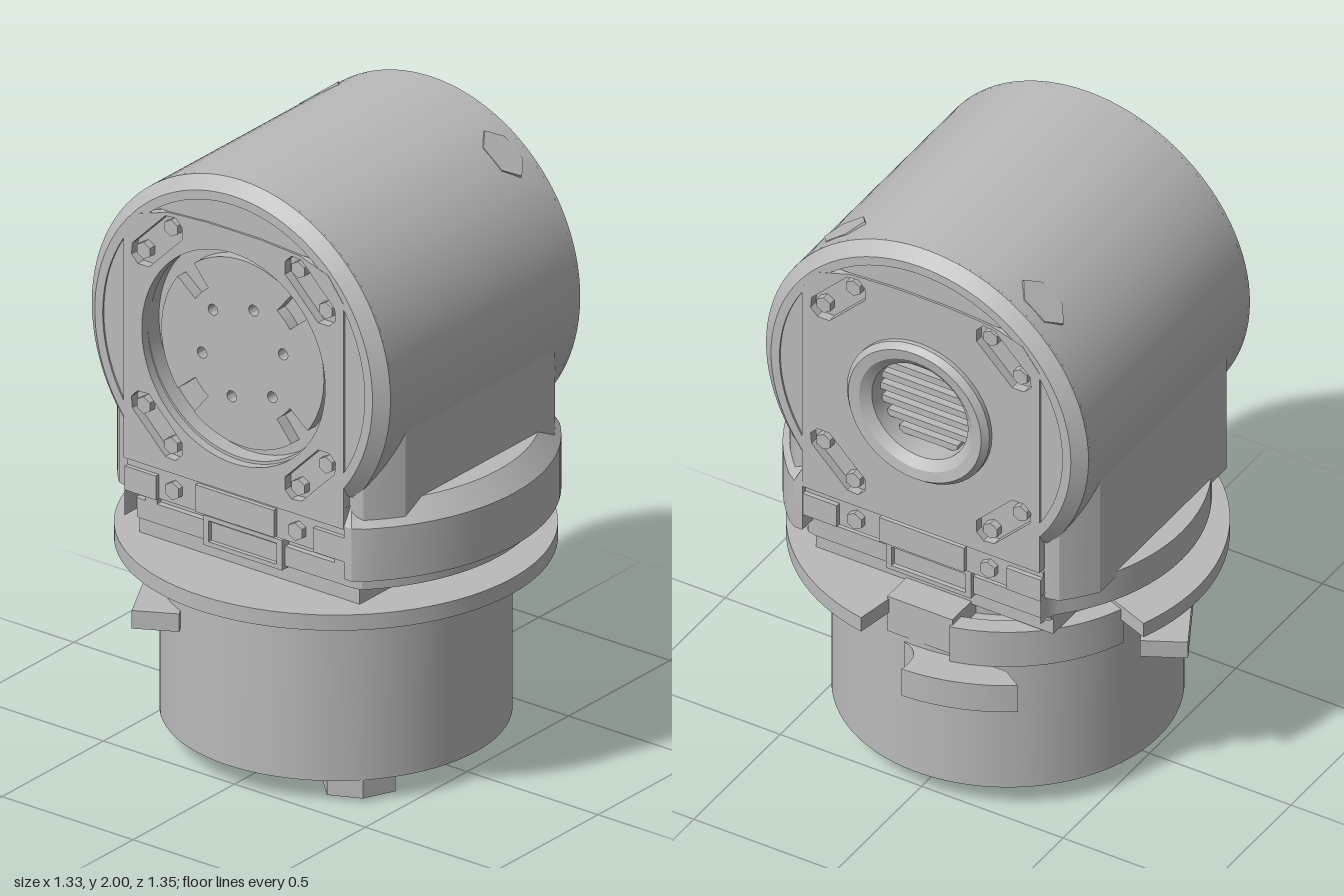
import * as THREE from 'three';
import { toCreasedNormals } from 'three/addons/utils/BufferGeometryUtils.js';

const grey = new THREE.MeshStandardMaterial({ color: 0xbababa, side: THREE.DoubleSide });
grey.name = 'metal grey';
const AXIS = 1.42; // height of the head's horizontal axis
const DEG = Math.PI / 180;
const V = (x, y) => new THREE.Vector2(x, y);

function add(parent, name, geometry) {
  const mesh = new THREE.Mesh(toCreasedNormals(geometry, 0.5), grey);
  mesh.name = name;
  parent.add(mesh);
  return mesh;
}

function box(parent, name, x0, x1, y0, y1, z0, z1) {
  const g = new THREE.BoxGeometry(x1 - x0, y1 - y0, z1 - z0);
  g.translate((x0 + x1) / 2, (y0 + y1) / 2, (z0 + z1) / 2);
  return add(parent, name, g);
}

const extrude = (shape, depth) =>
  new THREE.ExtrudeGeometry(shape, { depth, bevelEnabled: false, curveSegments: 40 });

// Horizontal slab from a shape drawn in x and z
const slab = (shape, y0, y1) => extrude(shape, y1 - y0).rotateX(Math.PI / 2).translate(0, y1, 0);

function circle(r, x = 0, y = 0, Type = THREE.Path) {
  const p = new Type();
  p.absarc(x, y, r, 0, Math.PI * 2);
  return p;
}

function sector(r0, r1, a0, a1) {
  const s = new THREE.Shape();
  s.absarc(0, 0, r1, a0 * DEG, a1 * DEG, false);
  s.absarc(0, 0, r0, a1 * DEG, a0 * DEG, true);
  s.closePath();
  return s;
}

// Vertical cylinder clipped to a box; tiers are [height, radius]
function clippedDrum(tiers, xMax, zMin, zMax) {
  const n = 96, pos = [], index = [];
  const clamp = THREE.MathUtils.clamp;
  for (const [y, r] of tiers) {
    for (let i = 0; i < n; i++) {
      const a = (i / n) * Math.PI * 2;
      pos.push(clamp(r * Math.cos(a), -xMax, xMax), y, clamp(r * Math.sin(a), zMin, zMax));
    }
  }
  const last = tiers.length - 1, zc = (zMin + zMax) / 2, c = pos.length / 3;
  pos.push(0, tiers[0][0], zc, 0, tiers[last][0], zc);
  for (let i = 0; i < n; i++) {
    const j = (i + 1) % n;
    for (let t = 0; t < last; t++) {
      const a = t * n + i, b = t * n + j;
      index.push(a, a + n, b, b, a + n, b + n);
    }
    index.push(c, i, j, c + 1, last * n + j, last * n + i);
  }
  const g = new THREE.BufferGeometry();
  g.setAttribute('position', new THREE.Float32BufferAttribute(pos, 3));
  g.setIndex(index);
  return g;
}

// Drive disc with edge notches and a ring of holes, extruded along z
function driveDisc(r, depth) {
  const s = new THREE.Shape();
  for (let k = 0; k < 4; k++) {
    const a = k * 90 + 45;
    s.absarc(0, 0, r, (a + 8) * DEG, (a + 82) * DEG, false);
    s.absarc(0, 0, r * 0.72, (a + 81) * DEG, (a + 99) * DEG, false);
  }
  s.closePath();
  for (let k = 0; k < 6; k++) {
    const a = (k * 60 + 15) * DEG;
    s.holes.push(circle(0.018, 0.16 * Math.cos(a), 0.16 * Math.sin(a)));
  }
  return extrude(s, depth);
}

// End cover, built facing +z and then turned to either side
function endCover(sign, boreRadius) {
  const g = new THREE.Group();
  g.name = sign > 0 ? 'leftCover' : 'rightCover';
  const half = [[0.42, 0.97], [0.42, 1.72], [0.36, 1.8], [0.25, 1.835], [0.1, 1.845]];
  const plate = new THREE.Shape([
    ...half.map(([x, y]) => V(x, y)), ...half.slice().reverse().map(([x, y]) => V(-x, y))]);
  plate.holes.push(circle(boreRadius, 0, AXIS));
  for (const sx of [-1, 1]) for (const sy of [-1, 1]) {
    // Diagonal screw pockets with two bolts each
    const at = (t, o) => V(sx * (0.295 + 0.7 * (t + o)), AXIS + sy * (0.31 + 0.7 * (o - t)));
    plate.holes.push(new THREE.Path([
      at(-0.12, -0.02), at(-0.09, -0.05), at(0.09, -0.05), at(0.12, -0.02),
      at(0.12, 0.015), at(0.09, 0.04), at(-0.09, 0.04), at(-0.12, 0.015)]));
    for (const t of [-0.075, 0.075]) {
      const p = at(t, 0);
      add(g, 'coverBolt', new THREE.CylinderGeometry(0.028, 0.028, 0.03, 6)
        .rotateX(Math.PI / 2).translate(p.x, p.y, 0.485));
    }
  }
  add(g, 'coverPlate', extrude(plate, 0.042).translate(0, 0, 0.463));

  // Flat face between the plate and the rim: both sides and the top
  for (const [from, to] of [[-36, 36], [51, 129], [144, 216]]) {
    const s = new THREE.Shape();
    s.absarc(0, 0, 0.52, from * DEG, to * DEG, false);
    s.closePath();
    add(g, 'rimFace', extrude(s, 0.035).translate(0, 1.43, 0.463));
  }

  // Lower bar, raised centre panel and connector strip
  box(g, 'lowerBar', -0.42, 0.42, 0.86, 0.96, 0.42, 0.485);
  box(g, 'lowerPanel', -0.15, 0.15, 0.865, 0.955, 0.48, 0.5);
  for (const s of [-1, 1]) {
    box(g, 'barEnd', s * 0.36 - 0.06, s * 0.36 + 0.06, 0.86, 0.94, 0.45, 0.5);
    const bolt = (x, y, z, r) => add(g, 'barBolt', new THREE.CylinderGeometry(r, r, 0.03, 6)
      .rotateX(Math.PI / 2).translate(x, y, z));
    bolt(s * 0.235, 0.91, 0.49, 0.03);
    bolt(s * 0.36, 0.82, 0.43, 0.025);
    bolt(s * 0.05, 0.79, 0.43, 0.02);
    box(g, 'connectorSide', s * 0.14 - 0.01, s * 0.14 + 0.01, 0.74, 0.84, 0.42, 0.46);
  }
  for (const y of [0.74, 0.825]) box(g, 'connectorEdge', -0.15, 0.15, y, y + 0.015, 0.42, 0.46);
  g.rotation.y = sign * Math.PI / 2;
  return g;
}

export function createModel() {
  const model = new THREE.Group();
  model.name = 'rotaryJoint';

  // Base drum with bolt holes and drive disc underneath
  const base = new THREE.Group();
  base.name = 'base';
  model.add(base);
  add(base, 'baseDrum', new THREE.CylinderGeometry(0.533, 0.533, 0.54, 80).translate(0, 0.37, 0));
  const floor = circle(0.533, 0, 0, THREE.Shape);
  floor.holes.push(circle(0.33));
  for (let k = 0; k < 4; k++) for (const d of [-8, 8]) {
    const a = (45 + k * 90 + d) * DEG;
    floor.holes.push(circle(0.024, 0.46 * Math.cos(a), 0.46 * Math.sin(a)));
  }
  add(base, 'baseFloor', slab(floor, 0.075, 0.1));
  add(base, 'baseDisc', driveDisc(0.3, 0.1).rotateX(Math.PI / 2).translate(0, 0.1, 0));
  add(base, 'baseKey', new THREE.CylinderGeometry(0.12, 0.12, 0.065, 6)
    .scale(1, 1, 0.65).rotateY(-45 * DEG).translate(-0.31, 0.045, 0.33));

  // Open flange ring and neck
  add(model, 'flange', slab(sector(0.3, 0.67, 10, 291), 0.64, 0.692));
  add(model, 'neck', new THREE.CylinderGeometry(0.42, 0.42, 0.12, 64).translate(0, 0.695, 0));
  add(model, 'neckCollar', clippedDrum([[0.75, 0.62], [0.815, 0.62]], 0.445, -0.42, 0.62));
  box(model, 'neckCore', -0.425, 0.425, 0.69, 0.9, -0.42, 0.42);
  box(model, 'neckTab', 0.38, 0.535, 0.57, 0.7, -0.13, 0.1);

  // Clamp hook on the left and flat tab behind
  const hook = new THREE.Shape();
  hook.absarc(0, 0, 0.655, -34 * DEG, -2 * DEG, false);
  hook.quadraticCurveTo(0.55, -0.04, 0.535, 0.04);
  hook.lineTo(0.5, 0.04);
  hook.lineTo(0.5, -0.3);
  hook.closePath();
  add(model, 'clampHook', slab(hook, 0.45, 0.55));
  add(model, 'clampUpper', slab(sector(0.5, 0.56, -70, -13), 0.55, 0.68));
  const tab = box(model, 'rearTab', -0.35, 0.35, 0.45, 0.51, -0.565, -0.42);
  tab.rotation.y = 28 * DEG;

  // Head barrel with a recess at each end
  const head = new THREE.Group();
  head.name = 'head';
  model.add(head);
  const barrel = [V(0, -0.42), V(0.35, -0.42), V(0.35, -0.475), V(0.555, -0.475), V(0.57, -0.46),
    V(0.57, 0.46), V(0.555, 0.475), V(0.2, 0.475), V(0.2, 0.42), V(0, 0.42)];
  add(head, 'barrel', new THREE.LatheGeometry(barrel, 96).rotateZ(-Math.PI / 2).translate(0, 1.43, 0));
  const rim = [V(0.5, 0.45), V(0.57, 0.455), V(0.57, 0.467), V(0.53, 0.504), V(0.5, 0.504), V(0.5, 0.45)];
  for (const s of [-1, 1]) {
    add(head, 'chamferedRim', new THREE.LatheGeometry(rim.map((p) => V(p.x, p.y * s)), 72, -220 * DEG, 260 * DEG)
      .rotateZ(-Math.PI / 2).translate(0, 1.43, 0));
  }

  // Lower housing with front and rear walls, and the skirts around it
  add(head, 'housing', clippedDrum([[0.86, 0.66], [1.075, 0.66]], 0.475, -0.55, 0.55));
  add(head, 'frontWall', clippedDrum([[0.95, 0.66], [1.4, 0.66]], 0.475, 0.36, 0.55));
  add(head, 'rearWall', clippedDrum([[0.95, 0.66], [1.4, 0.66]], 0.475, -0.55, -0.36));
  add(head, 'frontSkirt', clippedDrum([[0.805, 0.68], [0.98, 0.68], [1.04, 0.62]], 0.503, 0.42, 0.68));
  add(head, 'rearSkirt', clippedDrum([[0.775, 0.615], [0.88, 0.615]], 0.5, -0.615, -0.42));

  // Side covers
  const left = endCover(1, 0.2), right = endCover(-1, 0.35);
  head.add(left, right);
  const bezel = [V(0.17, 0.42), V(0.17, 0.51), V(0.2, 0.535), V(0.235, 0.54), V(0.252, 0.52), V(0.252, 0.49)];
  add(left, 'boreRing', new THREE.LatheGeometry(bezel, 48).rotateX(Math.PI / 2).translate(0, AXIS, 0));
  for (let i = -3; i <= 3; i++) {
    const y = i * 0.045, w = Math.sqrt(0.17 ** 2 - y * y);
    box(left, 'grilleBar', -w, w, AXIS + y - 0.012, AXIS + y + 0.012, 0.42, 0.46);
  }
  add(right, 'headDisc', driveDisc(0.31, 0.04).translate(0, AXIS, 0.42));

  // Hexagonal plugs nearly flush with the top of the barrel
  for (const s of [-1, 1]) {
    add(head, 'topPlug', new THREE.CylinderGeometry(0.06, 0.06, 0.03, 6)
      .scale(1, 1, 1.5).translate(0, 0.557, 0).rotateX(s * 38 * DEG).translate(0.37, 1.43, 0));
  }
  return model;
}
